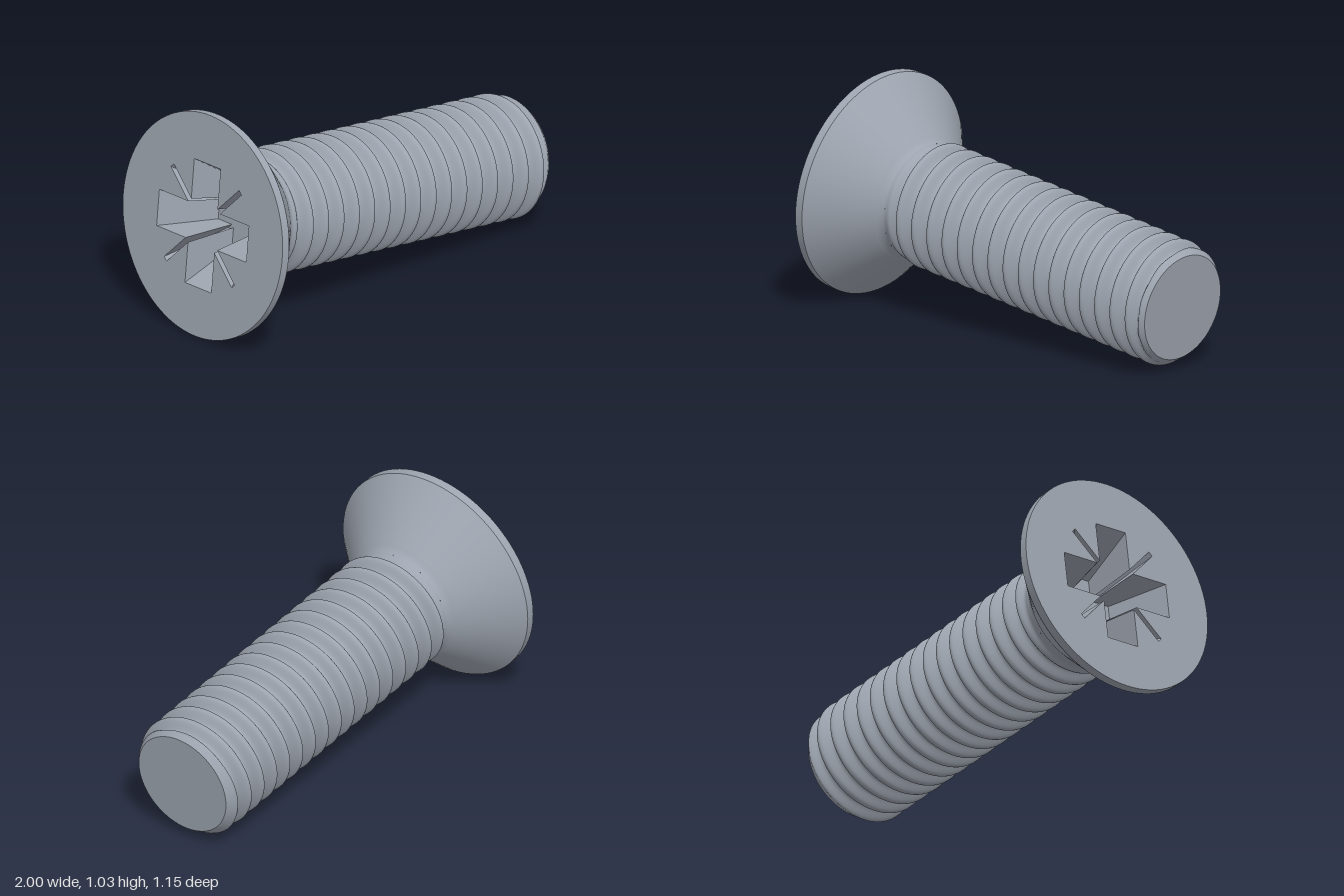
import * as THREE from 'three';
import { mergeVertices } from 'three/addons/utils/BufferGeometryUtils.js';

const HEAD_R = 0.515, RIM = 0.04;
const START = 0.3, END = 1.875, TIP_R = 0.243;
const PITCH = 0.0933, PHASE = 0.03, CREST = 0.286, ROOT = 0.236, NECK = 0.262;
const { smoothstep, lerp } = THREE.MathUtils;

// Everything is built along +Y, from the head face (y = 0) to the tip (y = END).
function lathe(points) {
  return new THREE.LatheGeometry(points.map(([r, y]) => new THREE.Vector2(r, y)), 96);
}

// Shaft radius: neck blends into the helical thread, which ends in a chamfer
function shaftRadius(s, phi) {
  const f = s / PITCH - phi / (Math.PI * 2) - PHASE;
  const off = Math.abs(f - Math.round(f));
  const thread = lerp(CREST, ROOT, smoothstep(off, 0.04, 0.46));
  let r = lerp(NECK, thread, smoothstep(s, 0.31, 0.36));
  r = lerp(r, 0.3, smoothstep(s, 1.83, END));
  return Math.min(r, TIP_R + (END - s) * 0.8);
}

// Grid whose rows follow the helix, clamped at both ends
function threadGeometry() {
  const sides = 80, steps = 12;
  const j0 = Math.floor((START / PITCH - 1.1) * steps);
  const rows = Math.ceil((END / PITCH + 0.1) * steps) - j0;
  const pos = [], index = [];
  for (let j = 0; j <= rows; j++) {
    for (let i = 0; i <= sides; i++) {
      const phi = (i / sides) * Math.PI * 2;
      const s = THREE.MathUtils.clamp(PITCH * ((j + j0) / steps + i / sides + PHASE), START, END);
      const r = shaftRadius(s, phi);
      pos.push(r * Math.cos(phi), s, -r * Math.sin(phi));
      if (i < sides && j < rows) {
        const a = j * (sides + 1) + i, b = a + sides + 1;
        index.push(a, a + 1, b, a + 1, b + 1, b);
      }
    }
  }
  const g = new THREE.BufferGeometry();
  g.setAttribute('position', new THREE.Float32BufferAttribute(pos, 3));
  g.setIndex(index);
  const merged = mergeVertices(g, 1e-5);
  merged.computeVertexNormals();
  return merged;
}

// Cross with four thin diagonal slots: arm length L, half width w, slot reach R, slot half width t
function crossOutline(L, w, R, t) {
  const q = Math.SQRT1_2, e = t * Math.SQRT2;
  const quarter = [[L, -w], [L, w], [w + e, w], [(R + t) * q, (R - t) * q], [(R - t) * q, (R + t) * q], [w, w + e]];
  const pts = [];
  for (let k = 0; k < 4; k++) {
    for (const [x, y] of quarter) {
      pts.push(new THREE.Vector2(x, y).rotateAround(new THREE.Vector2(), k * Math.PI / 2));
    }
  }
  return pts;
}

// Sloping walls between the recess mouth and its floor
function recessWalls(top, bottom, depth) {
  const pos = [];
  top.forEach((a, i) => {
    const k = (i + 1) % top.length, b = top[k], c = bottom[i], d = bottom[k];
    pos.push(a.x, 0, a.y, b.x, 0, b.y, c.x, depth, c.y);
    pos.push(b.x, 0, b.y, d.x, depth, d.y, c.x, depth, c.y);
  });
  const g = new THREE.BufferGeometry();
  g.setAttribute('position', new THREE.Float32BufferAttribute(pos, 3));
  g.computeVertexNormals();
  return g;
}

export function createModel() {
  const steel = new THREE.MeshStandardMaterial({ color: 0x9ea5b0 });
  steel.name = 'steel';
  const screw = new THREE.Group();
  screw.name = 'screw';
  const add = (name, geometry) => {
    const mesh = new THREE.Mesh(geometry, steel);
    mesh.name = name;
    screw.add(mesh);
  };

  // Countersunk head
  add('headRim', lathe([[HEAD_R, 0], [HEAD_R, RIM]]));
  add('headCone', lathe([[HEAD_R, RIM], [0.4, 0.153], [0.29, 0.262]]));
  add('neckFillet', lathe([[0.29, 0.262], [0.276, 0.274], [0.266, 0.288], [NECK, START]]));

  // Head face with the drive recess cut into it
  const depth = 0.25;
  const mouth = crossOutline(0.29, 0.085, 0.31, 0.012);
  const base = crossOutline(0.16, 0.06, 0.12, 0.008);
  const disc = new THREE.Shape().absarc(0, 0, HEAD_R, 0, Math.PI * 2, false);
  disc.holes.push(new THREE.Path(mouth));
  add('headFace', new THREE.ShapeGeometry(disc, 48).rotateX(Math.PI / 2));
  add('recessWalls', recessWalls(mouth, base, depth));
  add('recessFloor', new THREE.ShapeGeometry(new THREE.Shape(base)).rotateX(Math.PI / 2).translate(0, depth, 0));

  // Threaded shaft and flat tip
  add('threadedShaft', threadGeometry());
  add('tipFace', new THREE.CircleGeometry(TIP_R, 80).rotateX(-Math.PI / 2).translate(0, END, 0));

  // Lay the screw down, tip pointing right, slightly down and forward
  const axis = new THREE.Vector3(0.972, -0.12, 0.202).normalize();
  const up = new THREE.Vector3(0.12, 0.972, 0).normalize();
  const side = new THREE.Vector3().crossVectors(up, axis);
  screw.quaternion.setFromRotationMatrix(new THREE.Matrix4().makeBasis(up, axis, side));
  screw.position.set(-0.879, 0.516, -0.07);

  const model = new THREE.Group();
  model.name = 'countersunkScrew';
  model.add(screw);
  return model;
}
